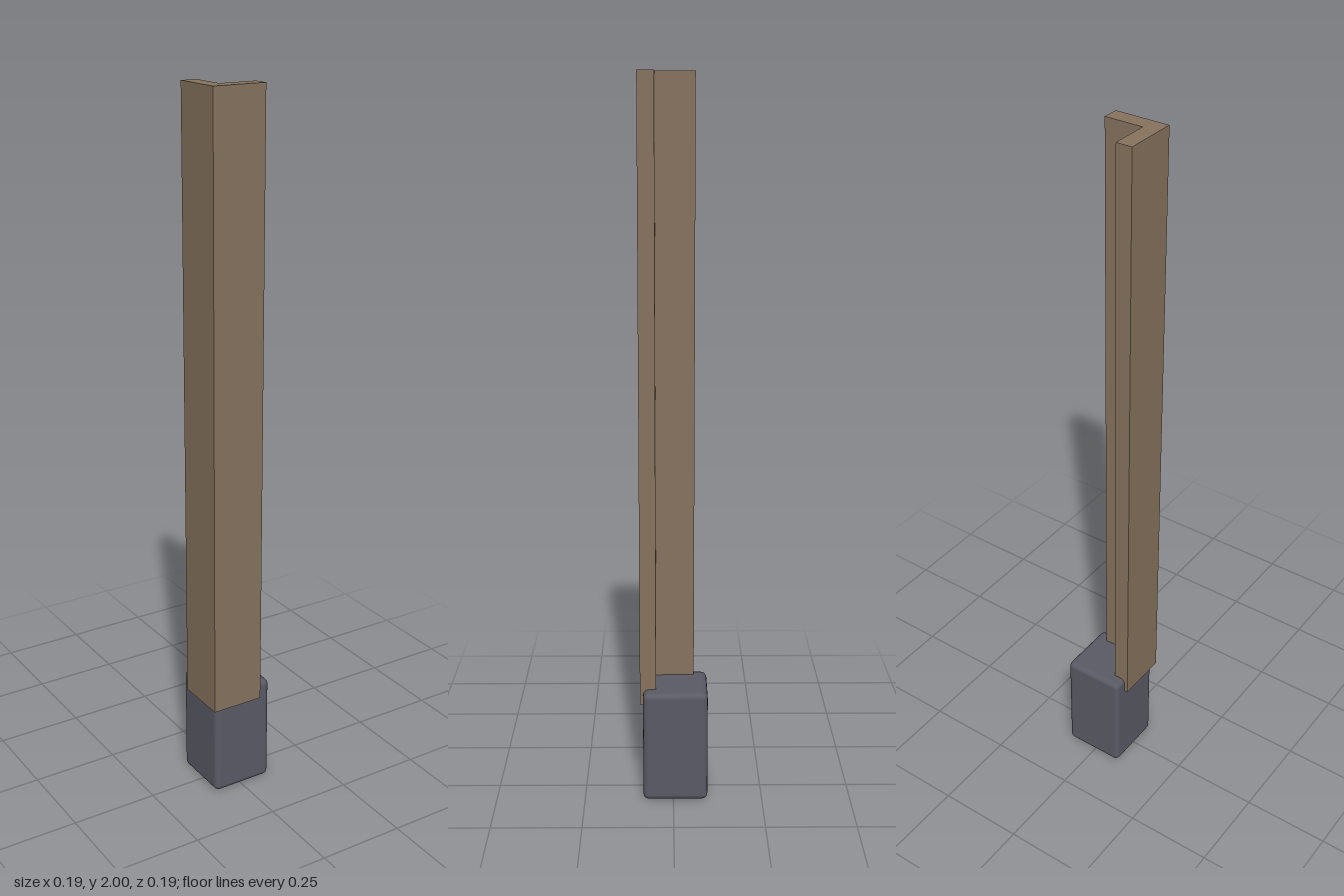
import * as THREE from 'three';
import { RoundedBoxGeometry } from 'three/addons/geometries/RoundedBoxGeometry.js';

export function createModel() {
  const group = new THREE.Group();

  // Upright: L-shaped section, outer corner at front right
  const x0 = -0.096, z0 = 0.094, arm = 0.153, thick = 0.045;
  const bottom = 0.275, top = 2;
  const section = new THREE.Shape([
    [0, 0], [arm, 0], [arm, thick], [thick, thick], [thick, arm], [0, arm],
  ].map(([x, d]) => new THREE.Vector2(x0 + x, d - z0)));
  const postGeometry = new THREE.ExtrudeGeometry(section, { depth: top - bottom, bevelEnabled: false });
  postGeometry.rotateX(-Math.PI / 2);
  const post = new THREE.Mesh(postGeometry, new THREE.MeshStandardMaterial({ color: 0x86735e }));
  post.name = 'anglePost';
  post.position.y = bottom;
  group.add(post);

  // Foot: block with softened edges, nested in the angle
  const width = 0.181, height = 0.32;
  const foot = new THREE.Mesh(
    new RoundedBoxGeometry(width, height, width, 2, 0.016),
    new THREE.MeshStandardMaterial({ color: 0x5a5a66 }),
  );
  foot.name = 'footBlock';
  foot.position.set(0.0045, height / 2, -0.0055);
  group.add(foot);

  return group;
}
